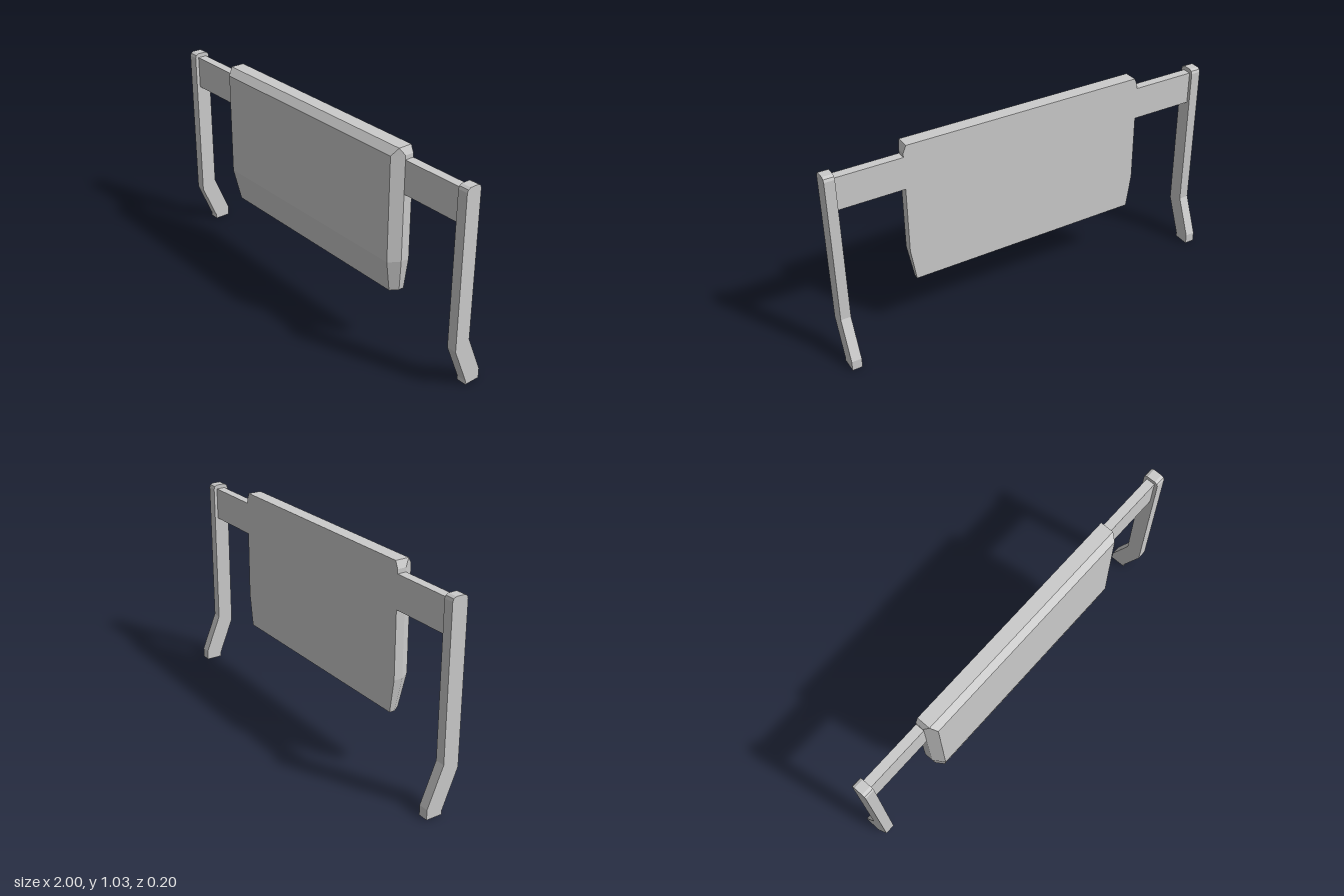
import * as THREE from 'three';

const material = new THREE.MeshStandardMaterial({ color: 0xcccccc, flatShading: true });

function addMesh(group, geometry, name) {
  const mesh = new THREE.Mesh(geometry, material);
  mesh.name = name;
  group.add(mesh);
  return mesh;
}

// Bevelled panel lofted through horizontal sections, bottom to top.
// Each section: y, outer half width, z where the side bevel starts, front half width, front z
function panelGeometry() {
  const sections = [
    [0.313, 0.6, 0.027, 0.575, 0.065],
    [0.48, 0.625, 0.045, 0.59, 0.099],
    [1.0, 0.625, 0.045, 0.59, 0.099],
    [1.035, 0.61, 0.069, 0.61, 0.069],
  ];
  const n = 6;
  const positions = [];
  const indices = [];
  for (const [y, xo, zm, xi, zf] of sections) {
    positions.push(-xo, y, 0, -xo, y, zm, -xi, y, zf, xi, y, zf, xo, y, zm, xo, y, 0);
  }
  for (let s = 0; s < sections.length - 1; s++) {
    for (let i = 0; i < n; i++) {
      const a = s * n + i;
      const b = s * n + ((i + 1) % n);
      indices.push(a, b, b + n, a, b + n, a + n);
    }
  }
  // Bottom and top caps
  const top = (sections.length - 1) * n;
  for (let i = 1; i < n - 1; i++) {
    indices.push(0, i + 1, i, top, top + i, top + i + 1);
  }
  const geometry = new THREE.BufferGeometry();
  geometry.setAttribute('position', new THREE.Float32BufferAttribute(positions, 3));
  geometry.setIndex(indices);
  const flat = geometry.toNonIndexed();
  flat.computeVertexNormals();
  return flat;
}

// Leg side profile in (z, y), extruded across x and kicked back at the foot
function legGeometry() {
  const profile = [
    [-0.097, 0], [-0.015, 0], [-0.015, 0.02], [0.063, 0.21],
    [0.063, 0.98], [0.058, 0.993], [0.045, 1.0],
    [0.001, 1.0], [-0.012, 0.993], [-0.017, 0.98],
    [-0.017, 0.243], [-0.097, 0.05],
  ];
  const shape = new THREE.Shape(profile.map(([z, y]) => new THREE.Vector2(z, y)));
  const geometry = new THREE.ExtrudeGeometry(shape, { depth: 0.05, bevelEnabled: false });
  geometry.rotateY(-Math.PI / 2);
  geometry.translate(0.025, 0, 0);
  return geometry;
}

export function createModel() {
  const group = new THREE.Group();
  group.name = 'panelOnLegs';

  addMesh(group, panelGeometry(), 'panel');

  // Side rails and legs, mirrored
  const leg = legGeometry();
  const rail = new THREE.BoxGeometry(0.345, 0.163, 0.045);
  for (const [side, label] of [[1, 'left'], [-1, 'right']]) {
    addMesh(group, rail, label + 'Rail').position.set(side * 0.7875, 0.8975, 0.0225);
    addMesh(group, leg, label + 'Leg').position.x = side * 0.975;
  }
  return group;
}
